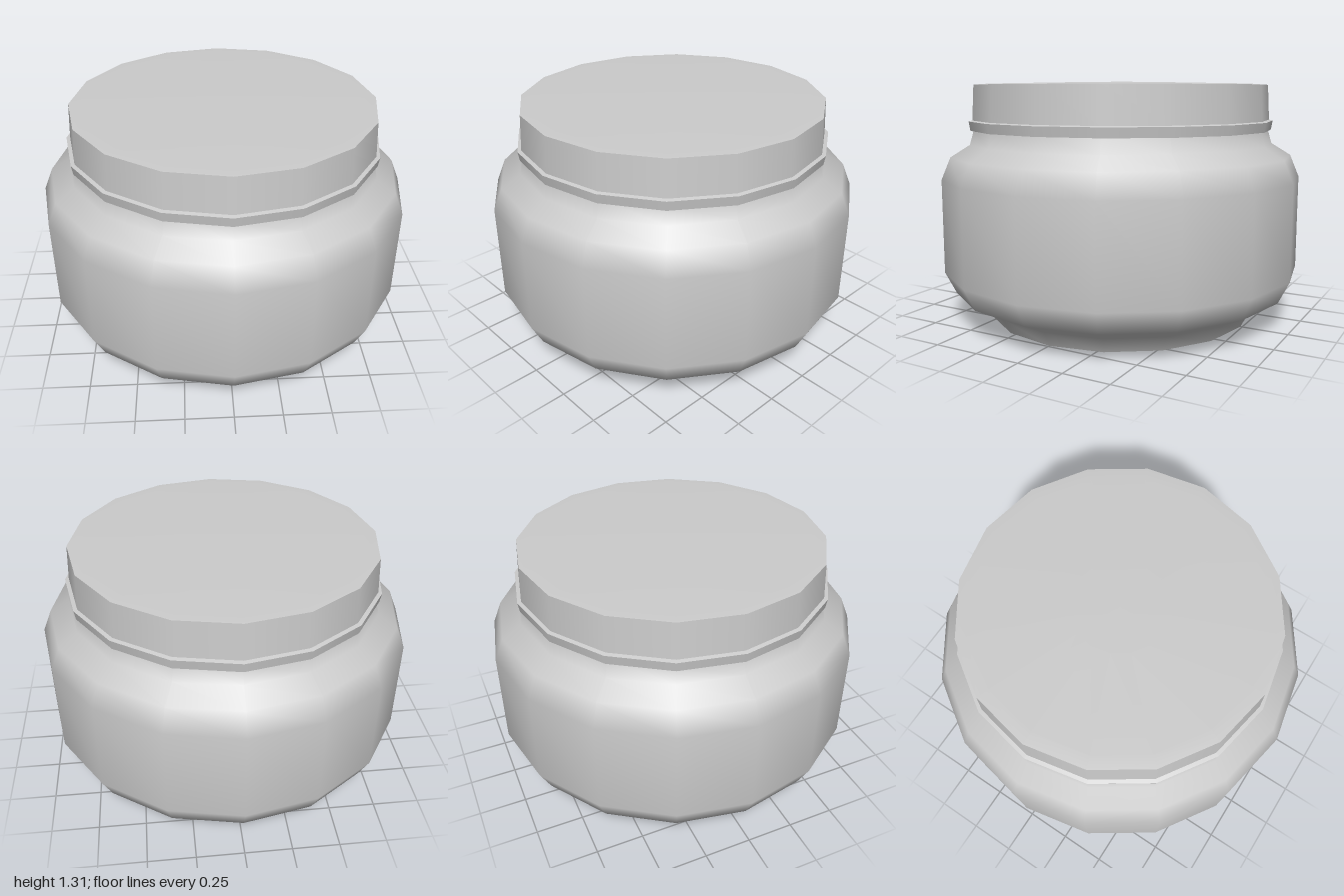
import * as THREE from 'three';

const SIDES = 16;

export function createModel() {
  const model = new THREE.Group();
  const material = new THREE.MeshStandardMaterial({ color: 0xcccccc, side: THREE.DoubleSide });

  // Each profile runs bottom to top as [radius, height]; separate profiles keep a sharp edge between them
  const turned = (name, ...profiles) => {
    const part = new THREE.Group();
    part.name = name;
    for (const profile of profiles) {
      const points = profile.map(([r, y]) => new THREE.Vector2(r, y));
      const mesh = new THREE.Mesh(new THREE.LatheGeometry(points, SIDES), material);
      mesh.name = name + 'Surface';
      part.add(mesh);
    }
    model.add(part);
  };

  // Jar: flat base, foot, rounded belly, shoulder and a neck that rises into the lid
  turned('jarBase', [[0, 0], [0.74, 0]]);
  turned('jarBody', [
    [0.74, 0], [0.785, 0.085], [0.94, 0.16], [1, 0.28],
    [1, 0.79], [0.95, 0.91], [0.845, 0.975], [0.82, 1.06],
  ]);
  turned('jarNeck', [[0.82, 1.06], [0.77, 1.1], [0.77, 1.28]]);

  // Lid: rolled rim, tapered wall and a very slightly domed top
  turned('lidRim',
    [[0.8, 1.05], [0.84, 1.05]],
    [[0.84, 1.05], [0.848, 1.1]],
    [[0.848, 1.1], [0.828, 1.105]]);
  turned('lidWall', [[0.828, 1.105], [0.817, 1.295]]);
  turned('lidTop', [[0.817, 1.295], [0.75, 1.3], [0.25, 1.31], [0, 1.31]]);

  return model;
}
